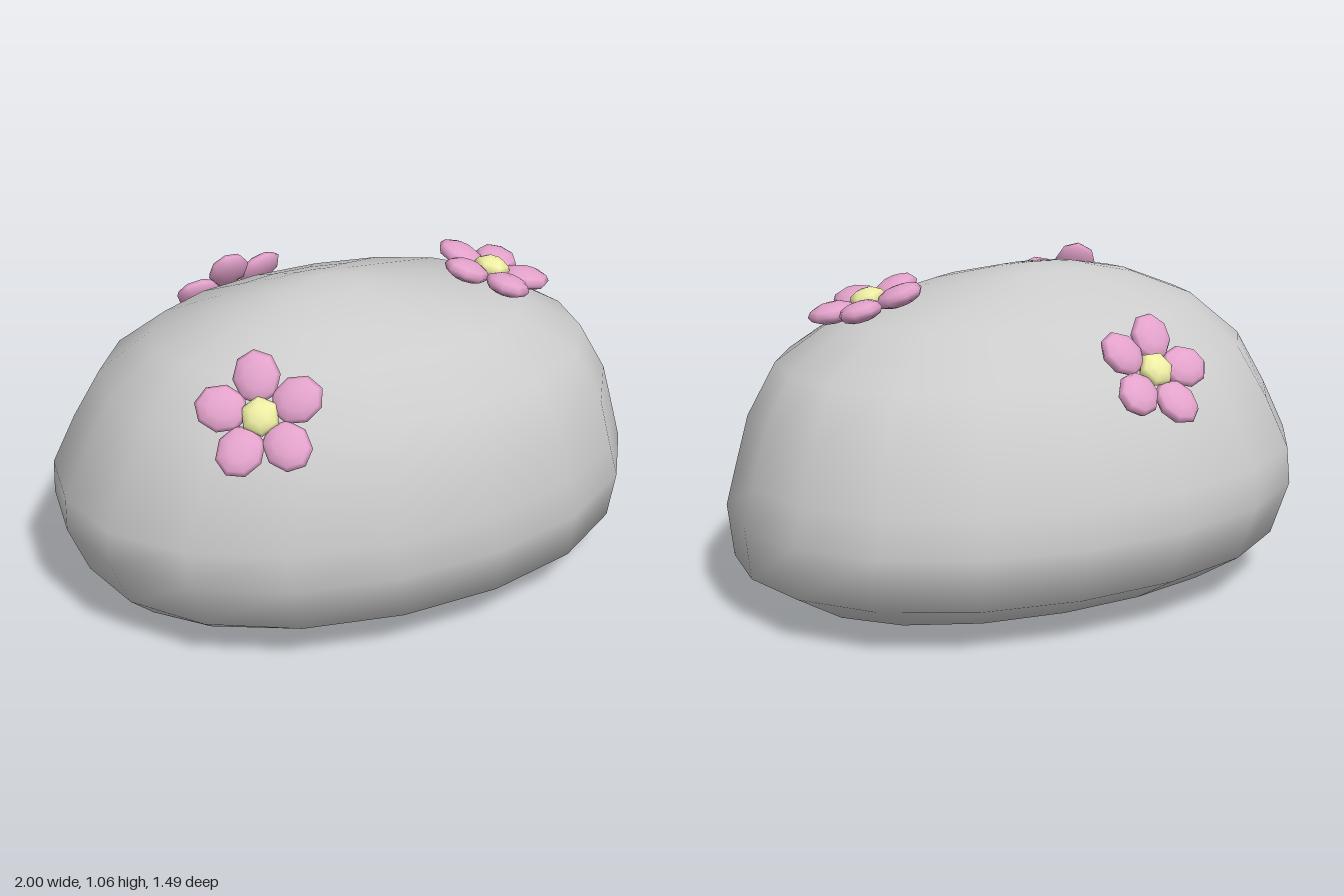
import * as THREE from 'three';

const grey = new THREE.MeshStandardMaterial({ color: 0xcccccc });
const pink = new THREE.MeshStandardMaterial({ color: 0xe3a2cb });
const yellow = new THREE.MeshStandardMaterial({ color: 0xeeeea4 });

// Boulder cross-sections from bottom to top: y, xMin, xMax, zMin, zMax
const RINGS = [
  [0.015, -0.42, 0.45, -0.26, 0.26],
  [0.035, -0.82, 0.80, -0.52, 0.50],
  [0.15, -0.93, 0.985, -0.72, 0.71],
  [0.32, -1.0, 1.0, -0.75, 0.755],
  [0.44, -1.0, 0.965, -0.72, 0.74],
  [0.61, -0.925, 0.91, -0.66, 0.715],
  [0.78, -0.845, 0.81, -0.535, 0.63],
  [0.92, -0.69, 0.58, -0.34, 0.485],
  [1.0, -0.49, 0.25, -0.15, 0.34],
  [1.04, -0.3, 0.05, -0.04, 0.18],
];
const SIDES = 18;

function boulderGeometry() {
  const positions = [0, 0, 0];
  const index = [];
  for (const [y, x0, x1, z0, z1] of RINGS) {
    for (let i = 0; i < SIDES; i++) {
      const a = (i / SIDES) * Math.PI * 2;
      const c = Math.cos(a), s = Math.sin(a);
      // slightly squared ellipse
      const r = Math.pow(Math.abs(c) ** 2.15 + Math.abs(s) ** 2.15, -1 / 2.15);
      positions.push(
        (x0 + x1) / 2 + r * c * (x1 - x0) / 2, y,
        (z0 + z1) / 2 + r * s * (z1 - z0) / 2);
    }
  }
  positions.push(-0.11, 1.06, 0.06);
  const top = RINGS.length * SIDES + 1;
  const at = (ring, i) => 1 + ring * SIDES + (i % SIDES);
  for (let i = 0; i < SIDES; i++) {
    index.push(0, at(0, i), at(0, i + 1));
    for (let k = 0; k < RINGS.length - 1; k++) {
      index.push(at(k, i), at(k + 1, i), at(k, i + 1));
      index.push(at(k + 1, i), at(k + 1, i + 1), at(k, i + 1));
    }
    index.push(at(RINGS.length - 1, i), top, at(RINGS.length - 1, i + 1));
  }
  const g = new THREE.BufferGeometry();
  g.setAttribute('position', new THREE.Float32BufferAttribute(positions, 3));
  g.setIndex(index);
  g.computeVertexNormals();
  return g;
}

// Flower lying in its local xz plane, first petal pointing along +x
function createFlower(center, normal, petalDirection) {
  const flower = new THREE.Group();
  flower.name = 'flower';
  const petalShape = new THREE.SphereGeometry(1, 8, 6);
  petalShape.scale(0.083, 0.034, 0.073);
  petalShape.rotateZ(0.1);
  petalShape.translate(0.12, 0, 0);
  for (let i = 0; i < 5; i++) {
    const petal = new THREE.Mesh(petalShape, pink);
    petal.name = 'petal';
    petal.rotation.y = (i / 5) * Math.PI * 2;
    flower.add(petal);
  }
  const heart = new THREE.Mesh(new THREE.SphereGeometry(1, 6, 6), yellow);
  heart.name = 'flowerCentre';
  heart.scale.set(0.062, 0.036, 0.062);
  heart.position.y = 0.008;
  flower.add(heart);

  // orient onto the surface
  const n = new THREE.Vector3(...normal).normalize();
  const x = new THREE.Vector3(...petalDirection).projectOnPlane(n).normalize();
  const z = new THREE.Vector3().crossVectors(x, n);
  flower.quaternion.setFromRotationMatrix(new THREE.Matrix4().makeBasis(x, n, z));
  flower.position.set(...center);
  return flower;
}

export function createModel() {
  const model = new THREE.Group();
  model.name = 'floweryBoulder';

  const boulder = new THREE.Mesh(boulderGeometry(), grey);
  boulder.name = 'boulder';
  model.add(boulder);

  // Flowers: front right, top left, back
  model.add(createFlower([-0.54, 0.865, 0.52], [-0.44, 0.56, 0.69], [-0.15, 1, 0]));
  model.add(createFlower([0.5, 0.98, 0.1], [0.27, 0.96, 0.1], [-0.05, 0, 1]));
  model.add(createFlower([-0.17, 0.8, -0.555], [-0.08, 0.61, -0.79], [-1, 0, 0.05]));
  return model;
}
